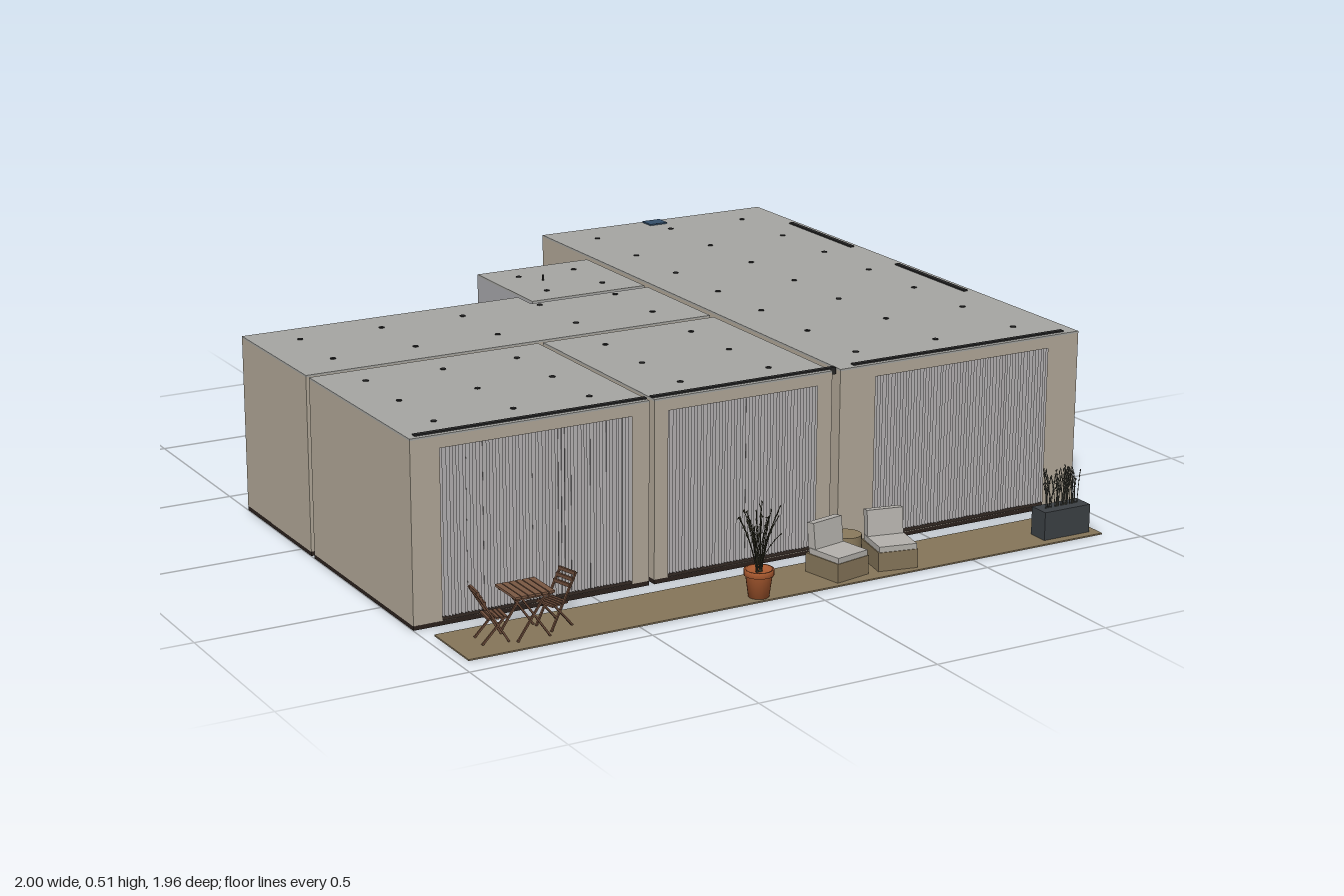
import * as THREE from 'three';

const mats = {};
const mat = (c) => (mats[c] ??= new THREE.MeshStandardMaterial({ color: c, side: THREE.DoubleSide }));
const WALL = 0xb3a999, ROOF = 0xa6a6a2, DARK = 0x2b221d, BLACK = 0x262626, WOOD = 0x6a4a38, TAN = 0x857559, CLOTH = 0xb4b1ac;
const H = 0.49;

function add(parent, name, geo, color, x = 0, y = 0, z = 0) {
  const m = new THREE.Mesh(geo, mat(color));
  m.name = name;
  m.position.set(x, y, z);
  parent.add(m);
  return m;
}

// Box given by its min and max on each axis
const box = (parent, name, color, x0, x1, y0, y1, z0, z1) =>
  add(parent, name, new THREE.BoxGeometry(x1 - x0, y1 - y0, z1 - z0), color, (x0 + x1) / 2, (y0 + y1) / 2, (z0 + z1) / 2);

// Thin square bar between two points
function bar(parent, name, color, p, q, w = 0.005, d = w) {
  const a = new THREE.Vector3(...p), b = new THREE.Vector3(...q);
  const m = add(parent, name, new THREE.BoxGeometry(w, a.distanceTo(b), d), color);
  m.position.copy(a).add(b).multiplyScalar(0.5);
  m.quaternion.setFromUnitVectors(new THREE.Vector3(0, 1, 0), b.sub(a).normalize());
  return m;
}

let seed = 7;
const rnd = () => (seed = (seed * 16807) % 2147483647) / 2147483647;

// Horizontal slab following a floor plan of [x, z] corners
function slab(parent, name, plan, color, y, thick) {
  const shape = new THREE.Shape(plan.map(([x, z]) => new THREE.Vector2(x, -z)));
  const geo = new THREE.ExtrudeGeometry(shape, { depth: thick, bevelEnabled: false });
  add(parent, name, geo.rotateX(-Math.PI / 2), color, 0, y, 0);
}

// Room shell: floor, roof, walls with openings {edge: [[from, to, y0, y1]]}, downlights
function room(parent, name, plan, openings, lightsX, lightsZ, color = WALL) {
  const g = new THREE.Group();
  g.name = name;
  slab(g, 'floor', plan, DARK, 0.001, 0.012);
  slab(g, 'roof', plan, ROOF, H, 0.005);
  plan.forEach((p, i) => {
    const q = plan[(i + 1) % plan.length];
    const dx = q[0] - p[0], dz = q[1] - p[1], len = Math.hypot(dx, dz);
    const rect = (T, a, b, y0, y1) => new T([[a, y0], [b, y0], [b, y1], [a, y1]].map((v) => new THREE.Vector2(...v)));
    const wall = rect(THREE.Shape, 0, len, 0.012, H);
    const axis = Math.abs(dx) > Math.abs(dz) ? 0 : 1;
    for (const [a, b, y0, y1] of openings[i] ?? [])
      wall.holes.push(rect(THREE.Path, Math.abs(a - p[axis]), Math.abs(b - p[axis]), y0, y1));
    const m = add(g, 'wall', new THREE.ShapeGeometry(wall), color, p[0], 0, p[1]);
    m.rotation.y = -Math.atan2(dz, dx);
  });
  for (const x of lightsX) for (const z of lightsZ)
    add(g, 'downlight', new THREE.CylinderGeometry(0.008, 0.008, 0.006, 12), BLACK, x, H + 0.004, z);
  parent.add(g);
}

const rectPlan = (x0, x1, z0, z1) => [[x0, z0], [x1, z0], [x1, z1], [x0, z1]];

// Folded curtain hanging along local x
function curtain(parent, length, y0, y1, x, z, turn = 0) {
  const n = Math.round(length * 220);
  const geo = new THREE.PlaneGeometry(length, y1 - y0, n, 1);
  const pos = geo.attributes.position;
  const fold = Array.from({ length: n + 1 }, (_, i) => (i % 2 ? 1 : -1) * (0.003 + 0.005 * rnd()));
  for (let i = 0; i < pos.count; i++) pos.setZ(i, fold[i % (n + 1)]);
  const m = add(parent, 'curtain', geo.toNonIndexed(), 0xb2afb0, x, (y0 + y1) / 2, z);
  m.geometry.computeVertexNormals();
  m.rotation.y = turn;
}

// Tuft of thin curved stems ending in small leaves
function plant(parent, count, x, y, z, spreadX, spreadZ, height, color, rootX = 0.01) {
  for (let i = 0; i < count; i++) {
    const a = rnd() * Math.PI * 2, r = 0.25 + 0.75 * rnd(), h = height * (0.6 + 0.4 * rnd());
    const rx = x + (rnd() - 0.5) * 2 * rootX;
    const tip = new THREE.Vector3(rx + Math.cos(a) * r * spreadX, y + h, z + Math.sin(a) * r * spreadZ);
    const mid = new THREE.Vector3(rx + Math.cos(a) * r * spreadX * 0.3, y + h * 0.6, z + Math.sin(a) * r * spreadZ * 0.3);
    const curve = new THREE.QuadraticBezierCurve3(new THREE.Vector3(rx, y, z), mid, tip);
    add(parent, 'stem', new THREE.TubeGeometry(curve, 5, 0.0012, 4), color);
    for (const t of [0.65, 0.8, 1]) {
      const p = curve.getPoint(t);
      const leaf = add(parent, 'leaf', new THREE.OctahedronGeometry(0.005), color, p.x, p.y, p.z);
      leaf.scale.set(0.5, 1.4, 0.5);
      leaf.rotation.set(rnd(), a, rnd());
    }
  }
}

// Folding chair facing local +x
function foldingChair(parent, x, z, turn) {
  const g = new THREE.Group();
  g.name = 'foldingChair';
  for (const s of [-0.028, 0.028]) {
    bar(g, 'backLeg', WOOD, [-0.048, 0.14, s], [0.035, 0.004, s]);
    bar(g, 'frontLeg', WOOD, [-0.035, 0.004, s], [0.025, 0.07, s]);
  }
  for (let i = 0; i < 5; i++) box(g, 'seatSlat', WOOD, -0.02 + i * 0.011, -0.012 + i * 0.011, 0.066, 0.071, -0.03, 0.03);
  for (let i = 0; i < 3; i++) {
    const y = 0.105 + i * 0.014, bx = -0.048 + (0.14 - y) * 0.61;
    box(g, 'backSlat', WOOD, bx - 0.003, bx + 0.003, y, y + 0.009, -0.03, 0.03);
  }
  g.position.set(x, 0, z);
  g.rotation.y = turn;
  parent.add(g);
}

function armchair(parent, x, z, turn) {
  const g = new THREE.Group();
  g.name = 'armchair';
  box(g, 'base', TAN, -0.055, 0.055, 0.004, 0.055, -0.06, 0.06);
  box(g, 'seatCushion', CLOTH, -0.052, 0.052, 0.055, 0.07, -0.05, 0.058);
  const back = box(g, 'backCushion', CLOTH, -0.05, 0.05, 0.06, 0.138, -0.058, -0.033);
  back.rotation.x = -0.12;
  g.position.set(x, 0, z);
  g.rotation.y = turn;
  parent.add(g);
}

export function createModel() {
  const model = new THREE.Group();
  model.name = 'house';

  // Rooms: edges run back, right, front, left
  room(model, 'livingRoom', rectPlan(0.235, 1, -0.98, 0.69), {
    1: [[-0.68, -0.455, 0.17, 0.43], [-0.09, 0.135, 0.17, 0.43]],
    2: [[0.345, 0.9, 0.014, 0.46]],
    3: [[-0.75, -0.4, 0.014, 0.42]],
  }, [0.36, 0.615, 0.87], [-0.86, -0.62, -0.385, -0.145, 0.09, 0.33, 0.57]);
  room(model, 'leftBedroom', rectPlan(-1, -0.335, 0.085, 0.69), { 2: [[-0.92, -0.385, 0.014, 0.46]] },
    [-0.885, -0.665, -0.45], [0.185, 0.385, 0.585]);
  room(model, 'middleBedroom', rectPlan(-0.32, 0.21, 0.085, 0.69), { 2: [[-0.28, 0.165, 0.014, 0.46]] },
    [-0.185, 0.08], [0.185, 0.385, 0.585]);
  room(model, 'backRoom', [[-1, -0.365], [-0.165, -0.365], [-0.165, -0.285], [0.21, -0.285], [0.21, 0.065], [-1, 0.065]],
    { 0: [[-0.66, -0.46, 0.014, 0.42]] }, [-0.875, -0.635, -0.39, -0.15, 0.09], [-0.26, -0.045]);
  room(model, 'bathroom', rectPlan(-0.15, 0.21, -0.65, -0.305), { 3: [[-0.61, -0.51, 0.25, 0.42]] },
    [-0.06, 0.12], [-0.565, -0.39], 0xa9a9ad);
  box(model, 'passage', ROOF, 0.21, 0.235, 0.012, 0.44, -0.48, -0.39);

  // Curtains and their rails showing on the roof
  curtain(model, 0.6, 0.014, 0.48, 0.622, 0.668);
  curtain(model, 0.57, 0.014, 0.48, -0.652, 0.668);
  curtain(model, 0.48, 0.014, 0.48, -0.057, 0.668);
  curtain(model, 0.26, 0.15, 0.47, 0.975, -0.567, Math.PI / 2);
  curtain(model, 0.26, 0.15, 0.47, 0.975, 0.022, Math.PI / 2);
  for (const [x0, x1, z0, z1] of [[-0.98, -0.335, 0.663, 0.677], [-0.32, 0.23, 0.663, 0.677], [0.285, 0.96, 0.663, 0.677],
    [0.968, 0.982, -0.74, -0.395], [0.968, 0.982, -0.155, 0.195]]) box(model, 'curtainRail', BLACK, x0, x1, 0.48, 0.499, z0, z1);

  // Small fittings
  box(model, 'flue', 0x35506b, 0.58, 0.64, 0.4, 0.499, -0.975, -0.925);
  box(model, 'bathroomCabinet', BLACK, -0.153, -0.1, 0.1, 0.18, -0.64, -0.47);
  box(model, 'bathroomBlind', 0xa8966a, -0.146, -0.143, 0.25, 0.42, -0.61, -0.51);
  box(model, 'pipe', BLACK, -0.018, -0.014, 0.49, 0.512, -0.5, -0.496);
  box(model, 'sideVent', BLACK, -1.0, -0.994, 0.3, 0.33, -0.2, -0.18);
  add(model, 'wallOutlet', new THREE.CylinderGeometry(0.012, 0.012, 0.006, 12).rotateX(Math.PI / 2), BLACK, 0.37, 0.2, -0.98);

  // Rugs and low furniture inside
  for (const [name, c, x0, x1, z0, z1, h] of [
    ['rug', 0x5c3a33, 0.35, 0.8, 0.15, 0.6, 0.015], ['rug', 0x6b3e30, -0.75, -0.1, -0.28, -0.1, 0.015],
    ['rug', 0x5c3a33, -0.88, -0.45, 0.2, 0.55, 0.015], ['bed', 0x2d4055, 0, 0.2, 0.12, 0.5, 0.1],
    ['bed', 0x22262b, -0.8, -0.5, 0.25, 0.5, 0.1], ['bench', 0x2d4055, 0.72, 0.95, -0.95, -0.87, 0.16],
    ['island', BLACK, 0.5, 0.85, -0.62, -0.53, 0.17], ['wardrobe', WOOD, -0.46, -0.2, -0.02, 0.055, 0.42],
  ]) box(model, name, c, x0, x1, 0, h, z0, z1);
  for (const x of [0.52, 0.66, 0.8])
    add(model, 'stool', new THREE.CylinderGeometry(0.03, 0.03, 0.1, 20), 0x9a8560, x, 0.05, -0.71);
  add(model, 'roundTable', new THREE.CylinderGeometry(0.04, 0.04, 0.12, 24), BLACK, 0.65, 0.06, -0.2);

  // Deck and its furniture
  box(model, 'deck', TAN, -0.97, 0.92, 0, 0.004, 0.745, 0.935);
  foldingChair(model, -0.862, 0.843, -0.12);
  foldingChair(model, -0.684, 0.832, Math.PI + 0.25);
  const table = new THREE.Group();
  table.name = 'gardenTable';
  for (let i = 0; i < 6; i++) box(table, 'topSlat', 0x7a5843, -0.825 + i * 0.0185, -0.809 + i * 0.0185, 0.118, 0.124, 0.79, 0.9);
  for (const z of [0.8, 0.89]) {
    bar(table, 'tableLeg', WOOD, [-0.815, 0.004, z], [-0.735, 0.118, z]);
    bar(table, 'tableLeg', WOOD, [-0.725, 0.004, z], [-0.805, 0.118, z]);
    box(table, 'topRail', WOOD, -0.82, -0.72, 0.112, 0.118, z - 0.003, z + 0.003);
  }
  model.add(table);
  armchair(model, 0.132, 0.85, 0.2);
  armchair(model, 0.294, 0.85, -0.2);
  add(model, 'sideTable', new THREE.CylinderGeometry(0.04, 0.04, 0.066, 24), 0x8a7a5c, 0.215, 0.037, 0.765);

  // Terracotta pot with a spreading plant
  const pot = [[0, 0.004], [0.027, 0.004], [0.035, 0.062], [0.039, 0.062], [0.039, 0.077], [0.033, 0.077], [0.032, 0.068], [0, 0.068]];
  add(model, 'pot', new THREE.LatheGeometry(pot.map((p) => new THREE.Vector2(...p)), 24), 0xa8592f, -0.135, 0, 0.9);
  plant(model, 26, -0.135, 0.068, 0.9, 0.06, 0.078, 0.175, 0x3b3a2a);

  // Long planter with grasses
  box(model, 'planter', 0x3c4145, 0.748, 0.895, 0.004, 0.082, 0.85, 0.91);
  plant(model, 40, 0.822, 0.08, 0.88, 0.025, 0.035, 0.105, 0x4a4a42, 0.055);
  return model;
}
